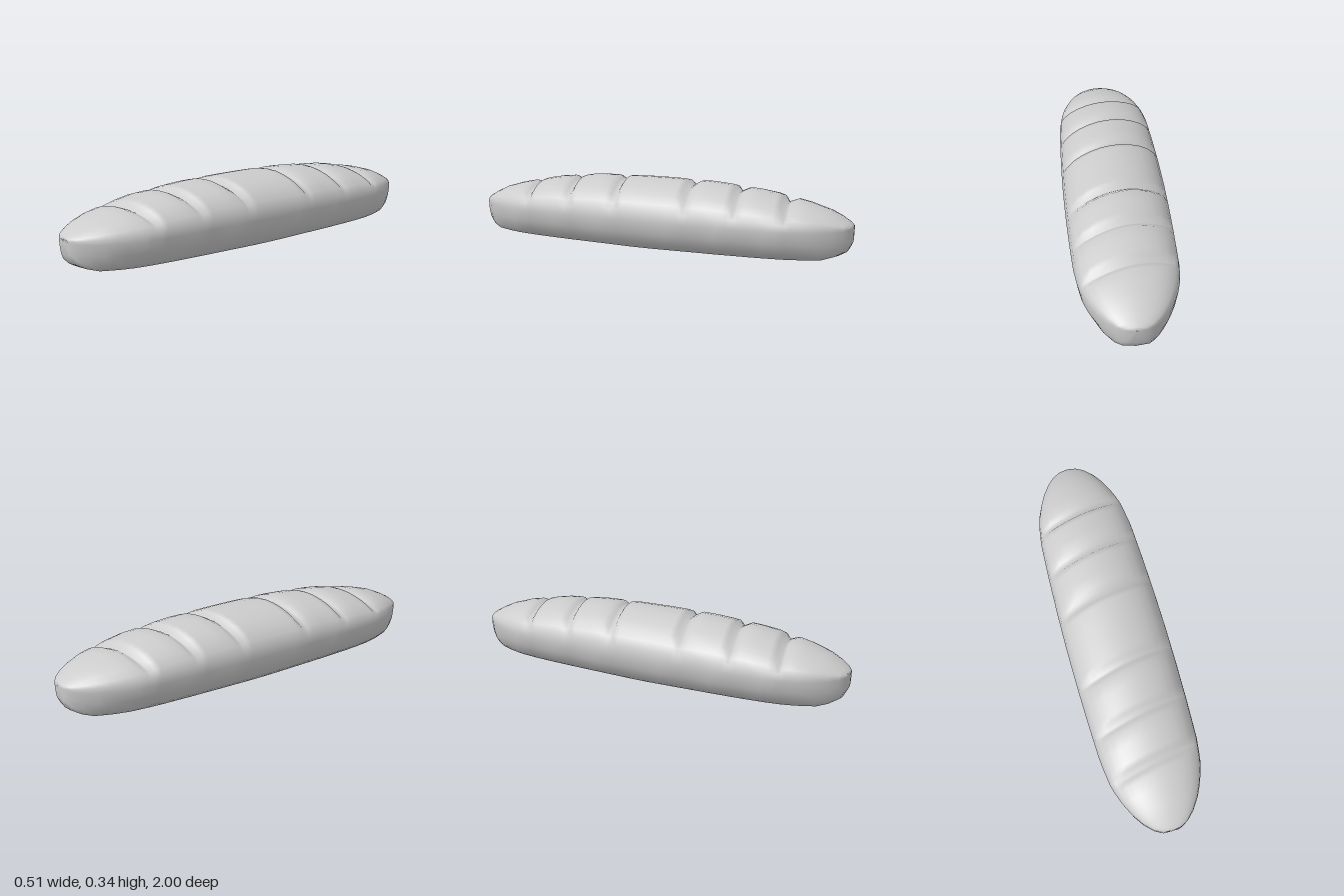
import * as THREE from 'three';

// Loaf envelope by distance from the middle: [|z|, half width, top, bottom]
const ENVELOPE = [
  [0, 0.257, 0.341, 0], [0.2, 0.255, 0.338, 0.003], [0.4, 0.25, 0.328, 0.005],
  [0.6, 0.242, 0.305, 0.008], [0.72, 0.225, 0.28, 0.01], [0.8, 0.2, 0.262, 0.012],
  [0.88, 0.16, 0.24, 0.015], [0.93, 0.125, 0.217, 0.03], [0.97, 0.085, 0.195, 0.052],
  [0.99, 0.05, 0.182, 0.09], [1, 0, 0.17, 0.17],
];
// Half cross-section, top to bottom: [x, y (-1..1 about the waist), slash depth weight]
const SECTION = [
  [0, 1, 1], [0.2, 0.98, 1], [0.4, 0.91, 1], [0.58, 0.81, 0.95], [0.75, 0.66, 0.75],
  [0.9, 0.44, 0.35], [0.97, 0.22, 0], [1, -0.05, 0], [0.955, -0.42, 0],
  [0.83, -0.75, 0], [0.7, -0.92, 0], [0.35, -0.96, 0],
];
const WAIST = 0.167;
const SLASHES = [-0.68, -0.44, -0.19, 0.18, 0.44, 0.68];

function envelope(z) {
  const d = Math.min(Math.abs(z), 1);
  let i = 1;
  while (ENVELOPE[i][0] < d) i++;
  const a = ENVELOPE[i - 1], b = ENVELOPE[i];
  const t = (d - a[0]) / (b[0] - a[0]);
  return a.map((v, k) => v + (b[k] - v) * t);
}

// Mirror the half section into a closed loop
function sectionLoop() {
  const left = SECTION.slice(1).reverse().map(([x, y, w]) => [-x, y, w]);
  return [...SECTION, [0, -1, 0], ...left];
}

// Rings: a valley with a lip on both sides for each slash, plus the rounded ends
function ringStations() {
  const rings = [-0.06, 0.05].map(s => [s, 0]);
  for (const g of SLASHES) {
    const out = Math.sign(g);
    rings.push([g - out * 0.05, 0], [g - out * 0.022, 0.003], [g, 0.03],
      [g + out * 0.02, 0.017], [g + out * 0.05, 0], [g + out * 0.11, -0.002]);
  }
  for (const e of [0.84, 0.88, 0.93, 0.97, 0.99, 1]) rings.push([e, 0], [-e, 0]);
  return rings.sort((a, b) => a[0] - b[0]);
}

function loafGeometry() {
  const loop = sectionLoop(), rings = ringStations(), n = loop.length;
  const positions = [], indices = [];
  for (const [s, depth] of rings) {
    const width = envelope(s)[1];
    const skew = 0.2 * THREE.MathUtils.clamp((0.93 - Math.abs(s)) / 0.15, 0, 1);
    for (const [px, py, weight] of loop) {
      // Slant the rings so the slashes run diagonally across the crust
      const z = s - skew * px * width * THREE.MathUtils.clamp(py + 0.6, 0, 1);
      const [, w, top, bottom] = envelope(z);
      const y = WAIST + (py > 0 ? py * (top - WAIST) : py * (WAIST - bottom));
      const cut = depth * weight;
      positions.push(px * w - px * cut * 0.35, y - cut, z);
    }
  }
  for (let i = 0; i < rings.length - 1; i++) {
    for (let j = 0; j < n; j++) {
      const a = i * n + j, b = i * n + (j + 1) % n;
      const c = a + n, d = b + n;
      if (i < rings.length - 2) indices.push(c, d, b);
      if (i > 0) indices.push(a, c, b);
      else indices.push(c, d, a);
      if (i === rings.length - 2) continue;
    }
  }
  const geometry = new THREE.BufferGeometry();
  geometry.setAttribute('position', new THREE.Float32BufferAttribute(positions, 3));
  geometry.setIndex(indices);
  geometry.computeVertexNormals();
  // Point the tip normals straight outward
  const normal = geometry.attributes.normal;
  for (let j = 0; j < n; j++) {
    normal.setXYZ(j, 0, 0, -1);
    normal.setXYZ((rings.length - 1) * n + j, 0, 0, 1);
  }
  return geometry;
}

export function createModel() {
  const group = new THREE.Group();
  group.name = 'breadLoaf';
  const crust = new THREE.MeshStandardMaterial({ color: 0xcccccc });
  crust.name = 'crust grey';
  const loaf = new THREE.Mesh(loafGeometry(), crust);
  loaf.name = 'loaf';
  group.add(loaf);
  return group;
}
